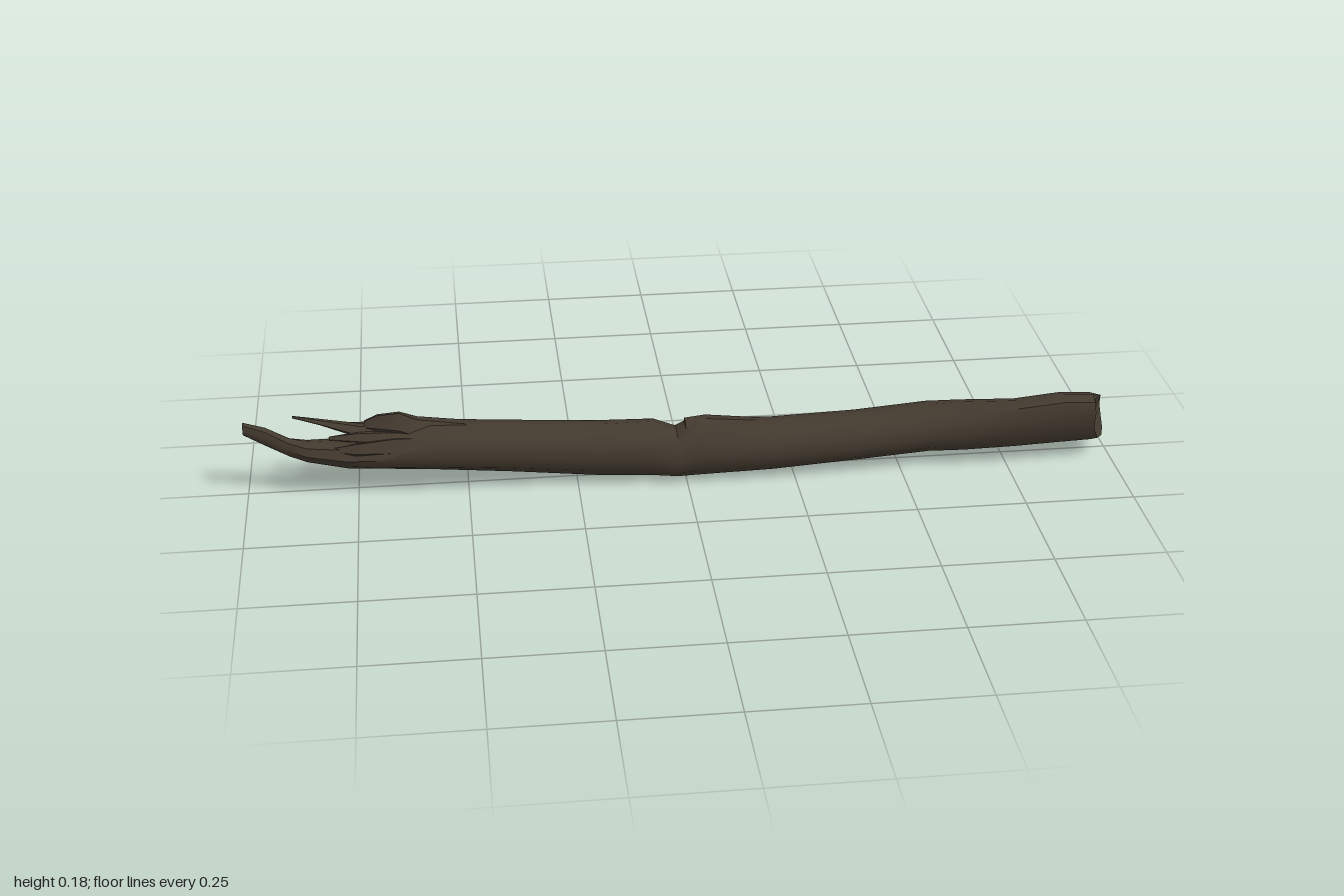
import * as THREE from 'three';
import { toCreasedNormals } from 'three/addons/utils/BufferGeometryUtils.js';

// Skin over cross-sections [x, bottom, top, back z, front z], ordered by growing x.
// shape(point, angle, x, isLast) may move each ring point.
function loft(stations, sides, shape = () => {}, capInset = 0) {
  const pos = [], index = [];
  const n = stations.length;
  stations.forEach(([x, yb, yt, zb, zf], i) => {
    for (let j = 0; j < sides; j++) {
      const a = (j / sides) * Math.PI * 2;
      const p = new THREE.Vector3(x,
        (yb + yt) / 2 + ((yt - yb) / 2) * Math.sin(a),
        (zb + zf) / 2 + ((zf - zb) / 2) * Math.cos(a));
      shape(p, a, x, i === n - 1);
      pos.push(p.x, p.y, p.z);
    }
  });
  for (let i = 0; i < n - 1; i++) {
    for (let j = 0; j < sides; j++) {
      const k = (j + 1) % sides;
      const a = i * sides + j, b = a + sides, c = (i + 1) * sides + k, d = i * sides + k;
      index.push(a, b, c, a, c, d);
    }
  }
  // End caps
  [0, n - 1].forEach((i) => {
    const [x, yb, yt, zb, zf] = stations[i];
    const centre = pos.length / 3;
    pos.push(i ? x - capInset : x, (yb + yt) / 2, (zb + zf) / 2);
    for (let j = 0; j < sides; j++) {
      const a = i * sides + j, b = i * sides + (j + 1) % sides;
      index.push(centre, i ? b : a, i ? a : b);
    }
  });
  const g = new THREE.BufferGeometry();
  g.setAttribute('position', new THREE.Float32BufferAttribute(pos, 3));
  g.setIndex(index);
  return toCreasedNormals(g, 0.75);
}

export function createModel() {
  const group = new THREE.Group();
  const bark = new THREE.MeshStandardMaterial({ color: 0x433a2f });
  bark.name = 'dark bark';
  const add = (name, geometry) => {
    const mesh = new THREE.Mesh(geometry, bark);
    mesh.name = name;
    group.add(mesh);
  };

  // Trunk: gently bowed, split to a tongue on one end and cut on the other
  const trunk = [
    [-0.77, 0.06, 0.125, -0.045, 0.045],
    [-0.70, 0.054, 0.132, -0.065, 0.055],
    [-0.58, 0.045, 0.152, -0.085, 0.065],
    [-0.40, 0.026, 0.142, -0.08, 0.06],
    [-0.20, 0.006, 0.132, -0.066, 0.063],
    [-0.07, 0.002, 0.134, -0.058, 0.074],
    [-0.02, 0.0, 0.114, -0.056, 0.08],
    [0.02, 0.001, 0.136, -0.055, 0.082],
    [0.20, 0.009, 0.125, -0.055, 0.087],
    [0.40, 0.017, 0.129, -0.057, 0.077],
    [0.57, 0.024, 0.138, -0.062, 0.066],
    [0.65, 0.027, 0.145, -0.047, 0.075],
    [0.77, 0.031, 0.155, -0.038, 0.077],
    [0.88, 0.036, 0.165, -0.037, 0.078],
    [0.95, 0.038, 0.16, -0.036, 0.076],
    [0.995, 0.04, 0.15, -0.035, 0.072],
  ];
  add('trunk', loft(trunk, 12, (p, a, x, last) => {
    // shallow furrows in the bark
    const cz = 0.01, cy = 0.085;
    const f = 1 - 0.035 * (1 + Math.sin(3 * a + 9 * x)) * Math.abs(Math.cos(a * 0.5 + x * 4));
    p.z = cz + (p.z - cz) * f;
    p.y = cy + (p.y - cy) * (p.y < cy ? 1 : f);
    // the cut end leans towards its front top corner
    if (x > 0.7) p.z += 0.022 * Math.max(0, Math.sin(a));
    if (last) p.x -= 0.65 * Math.max(0, p.z - 0.005) + 0.2 * Math.max(0, p.y - 0.08);
  }, 0.035));

  // Broken tongue rising from the lower half of the split end
  add('brokenTongue', loft([
    [-1.0, 0.148, 0.18, -0.014, 0.006],
    [-0.95, 0.118, 0.165, -0.017, 0.012],
    [-0.90, 0.09, 0.136, -0.02, 0.018],
    [-0.86, 0.08, 0.128, -0.026, 0.036],
    [-0.77, 0.06, 0.125, -0.042, 0.047],
    [-0.68, 0.055, 0.122, -0.05, 0.05],
  ], 8));

  // Splinters left standing around the break
  const splinters = [
    ['upperSplinter', [
      [-0.89, 0.17, 0.176, -0.036, -0.03],
      [-0.83, 0.15, 0.162, -0.046, -0.022],
      [-0.74, 0.115, 0.146, -0.055, -0.005],
      [-0.62, 0.1, 0.14, -0.06, 0.01]]],
    ['crest', [
      [-0.73, 0.13, 0.155, -0.045, -0.02],
      [-0.70, 0.12, 0.172, -0.052, -0.005],
      [-0.65, 0.11, 0.182, -0.05, 0.012],
      [-0.61, 0.1, 0.164, -0.055, 0.018],
      [-0.50, 0.1, 0.148, -0.05, 0.02]]],
    ['backSplinter', [
      [-0.80, 0.108, 0.128, -0.092, -0.078],
      [-0.71, 0.095, 0.13, -0.09, -0.07],
      [-0.64, 0.08, 0.135, -0.088, -0.05],
      [-0.52, 0.07, 0.13, -0.084, -0.03]]],
    ['frontSplinter', [
      [-0.82, 0.108, 0.114, 0.018, 0.026],
      [-0.75, 0.09, 0.13, 0.012, 0.046],
      [-0.66, 0.08, 0.138, 0.0, 0.05],
      [-0.54, 0.08, 0.136, 0.0, 0.054]]],
    ['middleSplinter', [
      [-0.81, 0.122, 0.134, -0.008, 0.002],
      [-0.74, 0.11, 0.142, -0.02, 0.016],
      [-0.64, 0.1, 0.14, -0.03, 0.03]]],
    // Lifted flakes of bark along the stem
    ['topFlake', [
      [0.0, 0.115, 0.135, -0.012, 0.03],
      [0.05, 0.11, 0.139, -0.02, 0.036],
      [0.22, 0.1, 0.122, -0.01, 0.03]]],
    ['backFlake', [
      [0.48, 0.07, 0.11, -0.058, -0.03],
      [0.58, 0.065, 0.125, -0.066, -0.03],
      [0.63, 0.085, 0.115, -0.06, -0.03]]],
  ];
  splinters.forEach(([name, stations]) => add(name, loft(stations, 5)));

  return group;
}
